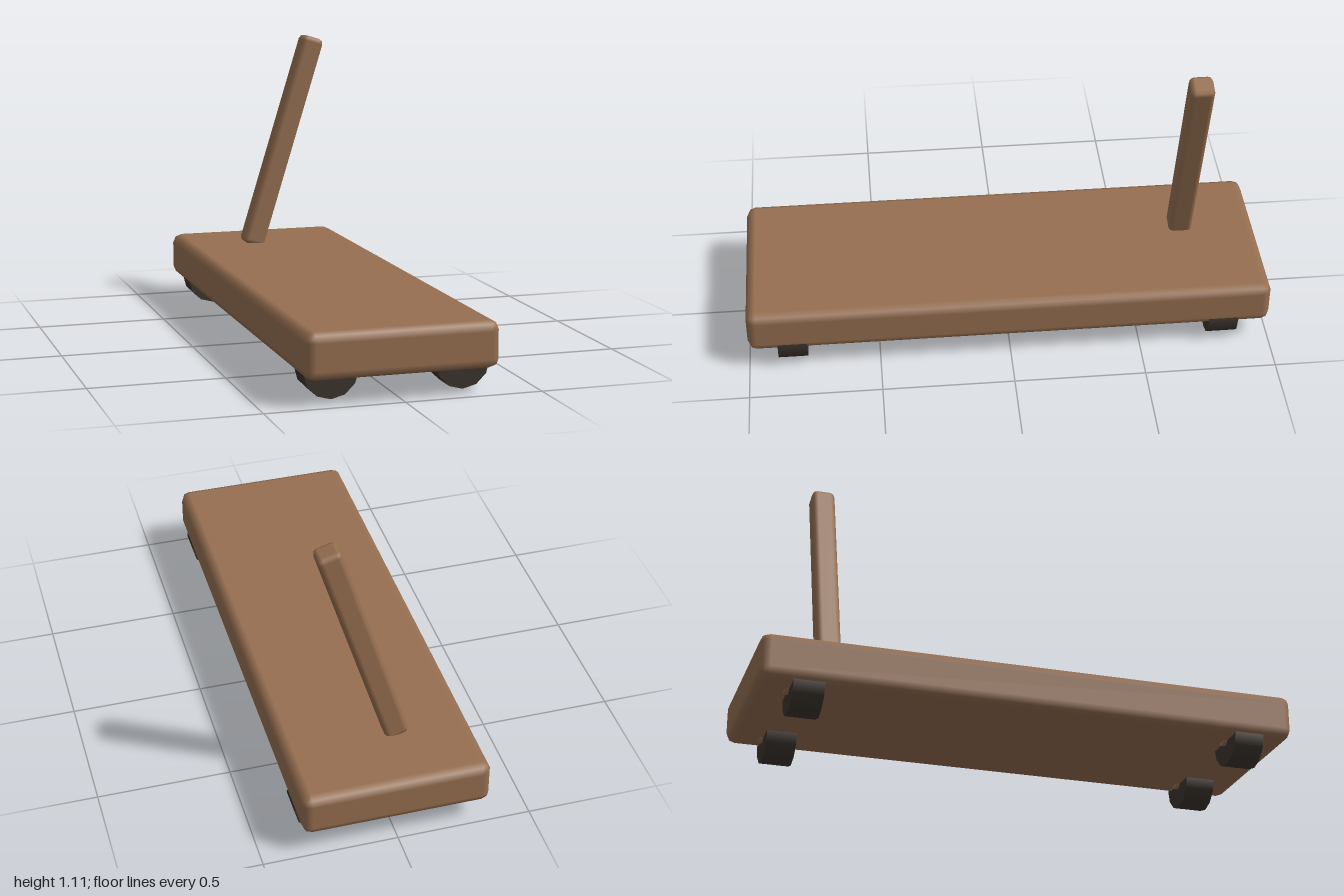
import * as THREE from 'three';
import { RoundedBoxGeometry } from 'three/addons/geometries/RoundedBoxGeometry.js';

const wood = new THREE.MeshStandardMaterial({ name: 'wood', color: 0x966f51 });
const rubber = new THREE.MeshStandardMaterial({ name: 'dark rubber', color: 0x3c342d });

function part(name, geometry, material, x, y, z) {
  const mesh = new THREE.Mesh(geometry, material);
  mesh.name = name;
  mesh.position.set(x, y, z);
  return mesh;
}

export function createModel() {
  const cart = new THREE.Group();
  cart.name = 'cart';

  // Deck with softly bevelled edges
  cart.add(part('deck', new RoundedBoxGeometry(0.7, 0.168, 2, 1, 0.035), wood, 0, 0.174, 0));

  // Leaning handle post near the back
  const post = part('handlePost', new RoundedBoxGeometry(0.09, 0.893, 0.09, 1, 0.02), wood, 0.055, 0.677, -0.705);
  post.rotation.z = -0.3;
  cart.add(post);

  // Twelve-sided wheels, each with a small hub at its back
  const wheelGeometry = new THREE.CylinderGeometry(0.1, 0.1, 0.112, 12).rotateX(Math.PI / 2);
  const hubGeometry = new THREE.CylinderGeometry(0.025, 0.025, 0.07, 12).rotateX(Math.PI / 2);
  for (const [end, z] of [['front', 0.832], ['back', -0.82]]) {
    for (const [side, x] of [['Right', -0.23], ['Left', 0.25]]) {
      const wheel = new THREE.Group();
      wheel.name = `${end}${side}Wheel`;
      wheel.position.set(x, 0.1, z);
      wheel.add(part('tyre', wheelGeometry, rubber, 0, 0, 0));
      wheel.add(part('hub', hubGeometry, wood, 0, 0, -0.035));
      cart.add(wheel);
    }
  }
  return cart;
}
